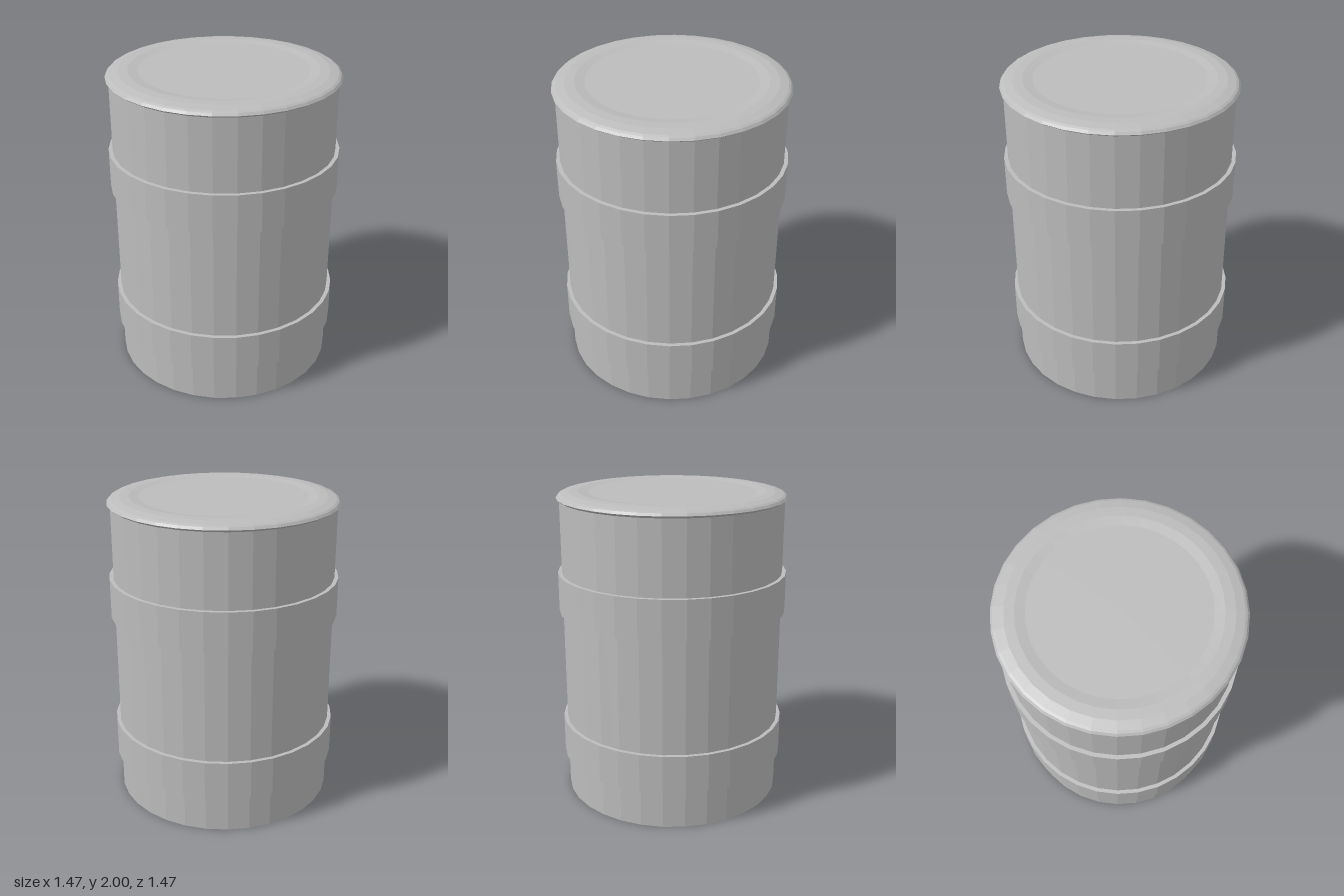
import * as THREE from 'three';

const SEGMENTS = 32;

export function createModel() {
  const model = new THREE.Group();
  model.name = 'barrel';
  const steel = new THREE.MeshStandardMaterial({ color: 0xbcbcbc });
  steel.name = 'grey steel';
  steel.flatShading = true;

  // Each part is a turned profile of [radius, height], listed from bottom to top
  const turn = (name, profile) => {
    const points = profile.map(([r, y]) => new THREE.Vector2(r, y));
    const mesh = new THREE.Mesh(new THREE.LatheGeometry(points, SEGMENTS), steel);
    mesh.name = name;
    model.add(mesh);
  };

  // Drum with closed bottom
  turn('body', [[0, 0], [0.71, 0], [0.71, 1.96]]);

  // Raised hoops
  const hoop = (name, y0, y1) =>
    turn(name, [[0.7, y0], [0.735, y0], [0.735, y1], [0.7, y1]]);
  hoop('lowerHoop', 0.248, 0.498);
  hoop('upperHoop', 1.235, 1.488);

  // Lid with a rounded rim and a slightly sunken flat centre
  turn('lid', [
    [0.69, 1.942], [0.705, 1.945], [0.73, 1.963], [0.718, 1.978], [0.703, 1.986],
    [0.65, 1.998], [0.59, 2], [0.53, 1.992], [0, 1.992],
  ]);

  return model;
}
